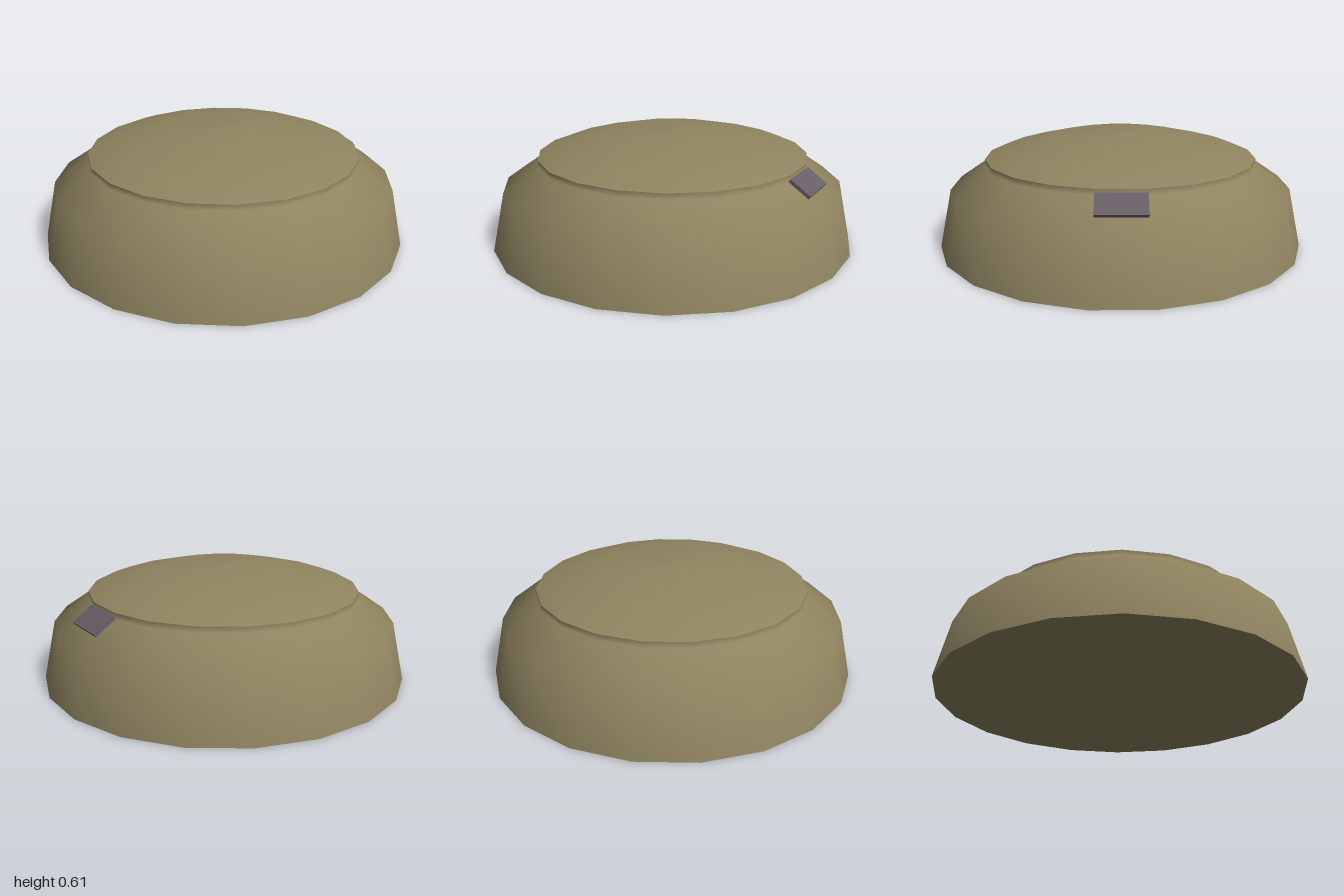
import * as THREE from 'three';

const SIDES = 20;

// Turned surface from [radius, height] pairs, listed bottom to top
function turned(name, profile, material) {
  const points = profile.map(([r, y]) => new THREE.Vector2(r, y));
  const mesh = new THREE.Mesh(new THREE.LatheGeometry(points, SIDES), material);
  mesh.name = name;
  return mesh;
}

export function createModel() {
  const group = new THREE.Group();
  group.name = 'domedDisc';

  const shellMaterial = new THREE.MeshStandardMaterial({ color: 0x8f8460 });
  shellMaterial.name = 'khaki';
  const plateMaterial = new THREE.MeshStandardMaterial({ color: 0x685f66 });
  plateMaterial.name = 'purple grey';

  // Sloping body, shoulder and short upright rim
  group.add(turned('body', [[1, 0], [0.93, 0.32], [0.74, 0.45], [0.74, 0.482]], shellMaterial));

  // Shallow domed lid
  group.add(turned('lid', [[0.74, 0.482], [0.63, 0.525], [0.37, 0.588], [0, 0.608]], shellMaterial));

  // Flat underside
  const base = new THREE.Mesh(new THREE.CircleGeometry(1, SIDES), shellMaterial);
  base.name = 'underside';
  base.rotation.x = Math.PI / 2;
  group.add(base);

  // Small plate lying on the rear shoulder
  const plate = new THREE.Mesh(new THREE.BoxGeometry(0.25, 0.02, 0.13), plateMaterial);
  plate.name = 'shoulderPlate';
  plate.position.set(0, 0.422, 0.787);
  plate.rotation.x = 0.61;
  const plateMount = new THREE.Group();
  plateMount.name = 'plateMount';
  plateMount.rotation.y = Math.atan2(0.36, -0.70);
  plateMount.add(plate);
  group.add(plateMount);

  return group;
}
